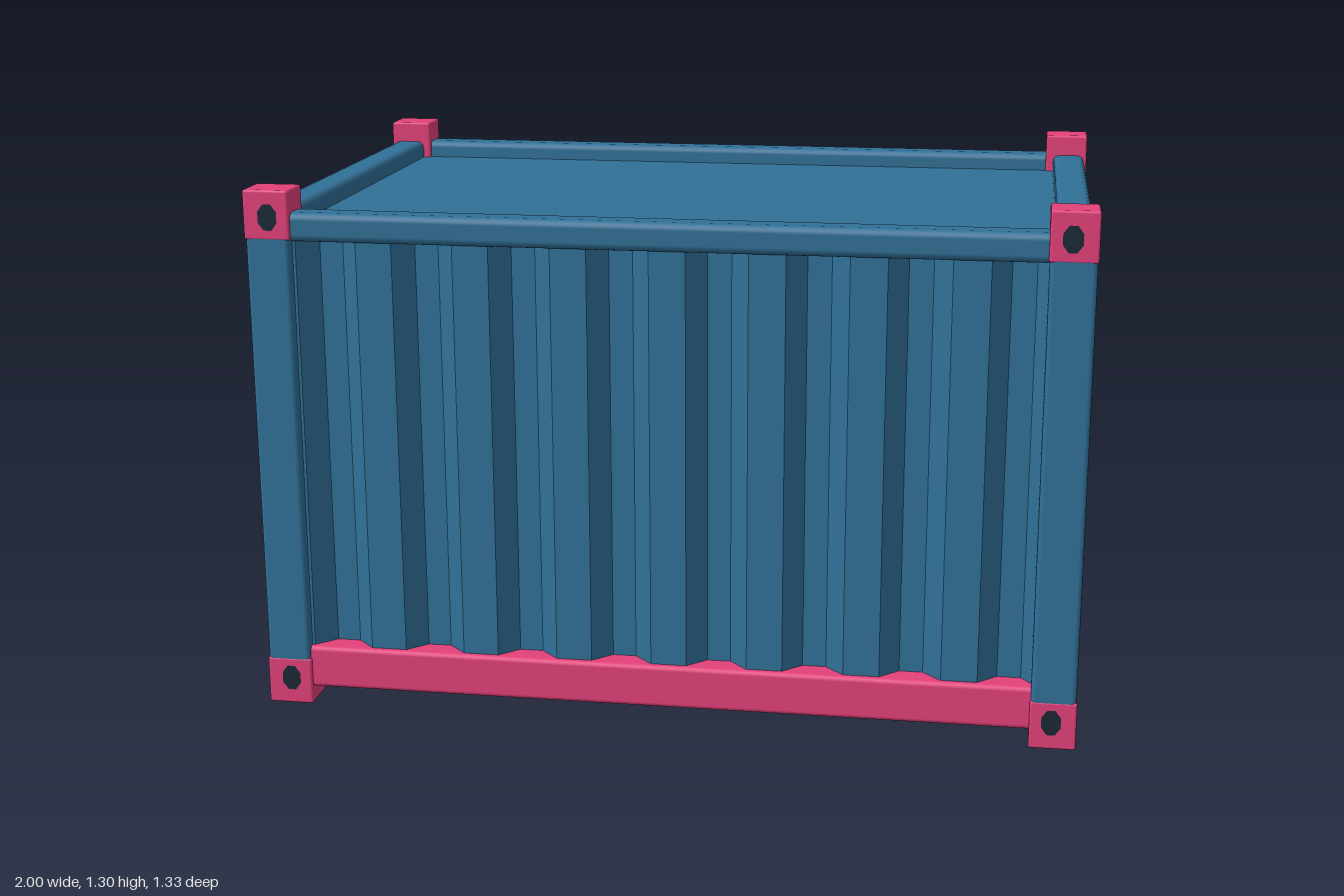
import * as THREE from 'three';
import { RoundedBoxGeometry } from 'three/addons/geometries/RoundedBoxGeometry.js';

export function createModel() {
  const model = new THREE.Group();
  model.name = 'cargoContainer';

  const paint = (name, color) => {
    const m = new THREE.MeshStandardMaterial({ color });
    m.name = name;
    return m;
  };
  const blue = paint('containerBlue', 0x307097);
  const pink = paint('trimPink', 0xe3417a);
  const palePink = paint('palePink', 0xcd849c);
  const dark = paint('holeDark', 0x1a2836);

  const add = (name, geometry, material, x = 0, y = 0, z = 0) => {
    const mesh = new THREE.Mesh(geometry, material);
    mesh.name = name;
    mesh.position.set(x, y, z);
    model.add(mesh);
    return mesh;
  };
  const bar = (name, material, w, h, d, x, y, z, r = 0.012) =>
    add(name, new RoundedBoxGeometry(w, h, d, 2, r), material, x, y, z);

  const X = 1, Z = 0.665, H = 1.3;
  const holeShape = new THREE.CircleGeometry(1, 8, Math.PI / 8);
  holeShape.scale(0.025, 0.034, 1);

  for (const sx of [-1, 1]) {
    for (const sz of [-1, 1]) {
      // Corner posts and castings with lashing holes
      bar('cornerPost', blue, 0.108, H - 0.2, 0.1, sx * 0.944, H / 2, sz * 0.614);
      for (const y of [0.06, H - 0.06]) {
        bar('cornerCasting', pink, 0.112, 0.12, 0.102, sx * (X - 0.056), y, sz * (Z - 0.051), 0.006);
        const holeY = y < 0.5 ? 0.068 : 1.235;
        const sideHole = add('sideHole', holeShape, dark, sx * 0.94, holeY, sz * (Z + 0.001));
        sideHole.rotation.y = sz > 0 ? 0 : Math.PI;
        // The front left castings are plain on the end face
        if (sx > 0 && sz > 0) continue;
        const endHole = add('endHole', holeShape, dark, sx * (X + 0.001), holeY, sz * 0.61);
        endHole.rotation.y = sx * Math.PI / 2;
      }
    }
    // Rails across the ends
    bar('endTopRail', blue, 0.085, 0.07, 1.16, sx * 0.95, 1.21, 0, 0.018);
    bar('endBottomRail', pink, 0.085, 0.108, 1.16, sx * 0.95, 0.096, 0);
    // Flat end wall
    add('endWall', new THREE.BoxGeometry(0.02, 1.08, 1.16), blue, sx * 0.945, 0.66, 0);
  }

  // Rails along the sides
  for (const sz of [-1, 1]) {
    bar('sideTopRail', blue, 1.82, 0.07, 0.08, 0, 1.21, sz * 0.615, 0.018);
    bar('sideBottomRail', pink, 1.82, 0.108, 0.08, 0, 0.096, sz * 0.615);
  }

  // Corrugated side walls, extruded upwards from a trapezoid profile
  const outer = 0.64, inner = 0.595, pitch = 0.235;
  const profile = [[-0.9, outer]];
  for (let i = -1; i < 7; i++) {
    const c = -0.625 + i * pitch;
    for (const [dx, z] of [[-0.023, outer], [0.023, inner], [0.08, inner], [0.125, outer]]) {
      if (c + dx > -0.9 && c + dx < 0.9) profile.push([c + dx, z]);
    }
  }
  profile.push([0.9, outer]);
  const wall = new THREE.Shape();
  profile.forEach(([x, z], i) => (i ? wall.lineTo(x, -z) : wall.moveTo(x, -z)));
  [...profile].reverse().forEach(([x, z]) => wall.lineTo(x, -z + 0.012));
  wall.closePath();
  const wallGeometry = new THREE.ExtrudeGeometry(wall, { depth: 1.07, bevelEnabled: false });
  wallGeometry.rotateX(-Math.PI / 2);
  for (const turn of [0, Math.PI]) {
    add('corrugatedWall', wallGeometry, blue, 0, 0.12, 0).rotation.y = turn;
  }

  // Roof and floor plates
  add('roof', new THREE.BoxGeometry(1.84, 0.02, 1.18), blue, 0, 1.19, 0);
  add('floor', new THREE.BoxGeometry(1.84, 0.02, 1.18), blue, 0, 0.135, 0);

  // Cross beams under the floor
  for (const x of [-0.27, 0.27]) {
    bar('floorBeam', blue, 0.11, 0.085, 1.16, x, 0.09, 0, 0.008);
  }

  // Rounded panel on each end wall
  const w = 0.385, h = 0.455, r = 0.04;
  const panel = new THREE.Shape();
  panel.moveTo(-w / 2 + r, -h / 2);
  panel.lineTo(w / 2 - r, -h / 2);
  panel.quadraticCurveTo(w / 2, -h / 2, w / 2, -h / 2 + r);
  panel.lineTo(w / 2, h / 2 - r);
  panel.quadraticCurveTo(w / 2, h / 2, w / 2 - r, h / 2);
  panel.lineTo(-w / 2 + r, h / 2);
  panel.quadraticCurveTo(-w / 2, h / 2, -w / 2, h / 2 - r);
  panel.lineTo(-w / 2, -h / 2 + r);
  panel.quadraticCurveTo(-w / 2, -h / 2, -w / 2 + r, -h / 2);
  const panelGeometry = new THREE.ExtrudeGeometry(panel, { depth: 0.006, bevelEnabled: false });
  for (const sx of [-1, 1]) {
    const plate = add('endPanel', panelGeometry, sx > 0 ? pink : palePink, sx * 0.954, 0.873, sx * 0.333);
    plate.rotation.y = sx * Math.PI / 2;
  }

  return model;
}
